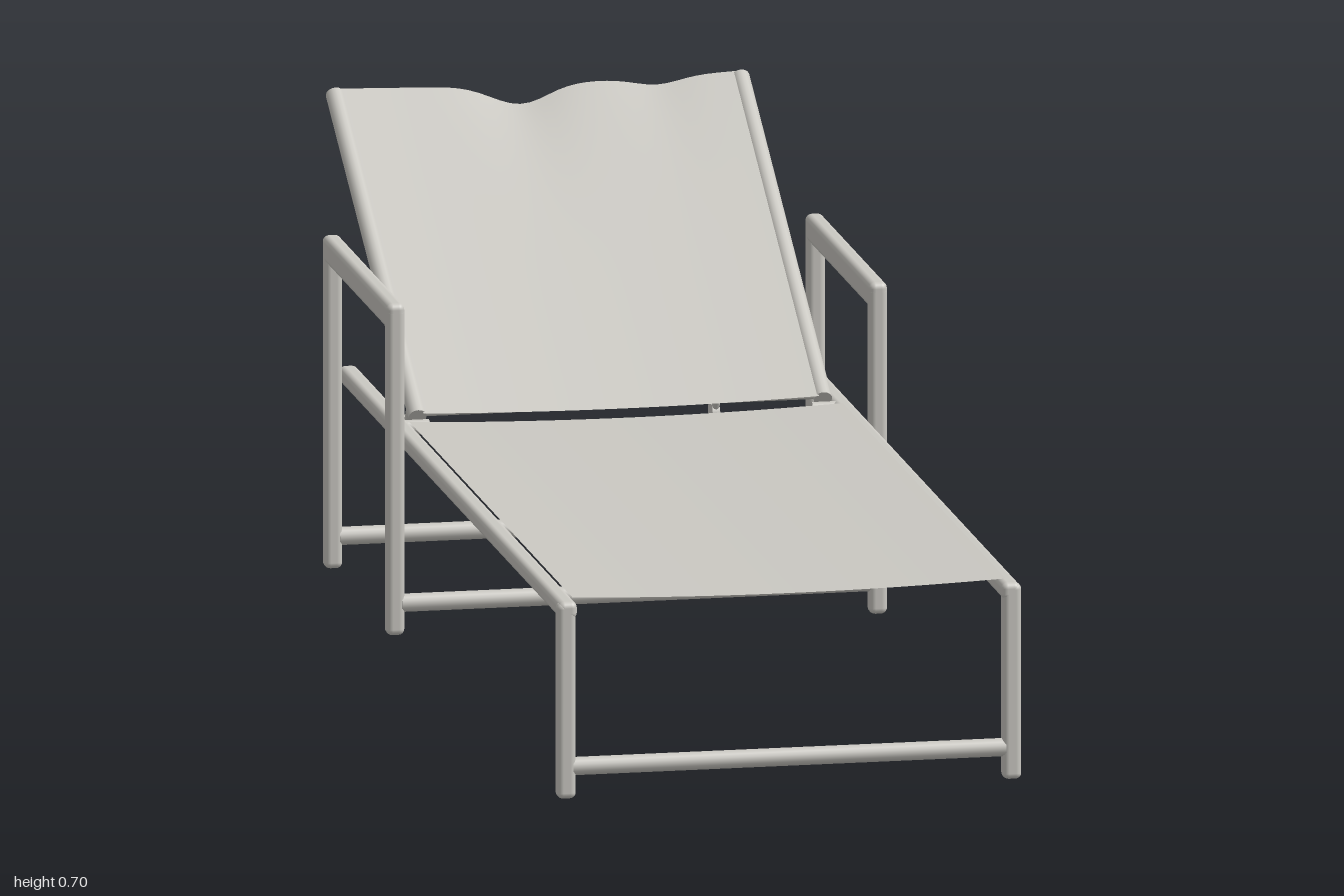
import * as THREE from 'three';
import { RoundedBoxGeometry } from 'three/addons/geometries/RoundedBoxGeometry.js';

const metal = new THREE.MeshStandardMaterial({ color: 0xcac8c2 });
metal.name = 'warm grey frame';
const fabric = new THREE.MeshStandardMaterial({ color: 0xcac8c2, side: THREE.DoubleSide });
fabric.name = 'warm grey fabric';

const V = (x, y, z) => new THREE.Vector3(x, y, z);

export function createModel() {
  const group = new THREE.Group();
  const add = (name, geometry, material = metal) => {
    const mesh = new THREE.Mesh(geometry, material);
    mesh.name = name;
    group.add(mesh);
    return mesh;
  };
  // Soft-edged bar given by its minimum and maximum corners
  const bar = (name, a, b) => {
    const size = b.clone().sub(a);
    const radius = Math.min(size.x, size.y, size.z) * 0.35;
    const mesh = add(name, new RoundedBoxGeometry(size.x, size.y, size.z, 3, radius));
    mesh.position.copy(a).add(b).multiplyScalar(0.5);
  };
  // Round rod between two points
  const rod = (name, a, b, r, sides = 16) => {
    const dir = b.clone().sub(a);
    const mesh = add(name, new THREE.CylinderGeometry(r, r, dir.length(), sides));
    mesh.position.copy(a).add(b).multiplyScalar(0.5);
    mesh.quaternion.setFromUnitVectors(V(0, 1, 0), dir.normalize());
  };
  // Cloth sheet: at(s, t) gives a point, s from -1 to 1 across, t from 0 to 1 along
  const cloth = (name, at) => {
    const geometry = new THREE.PlaneGeometry(2, 1, 40, 32);
    const p = geometry.attributes.position;
    for (let i = 0; i < p.count; i++) {
      const q = at(p.getX(i), p.getY(i) + 0.5);
      p.setXYZ(i, q.x, q.y, q.z);
    }
    geometry.computeVertexNormals();
    add(name, geometry, fabric);
  };

  for (const side of [-1, 1]) {
    const label = side > 0 ? 'left ' : 'right ';
    // Bar on this side, spanning x0..x1 outward
    const sideBar = (name, x0, x1, y0, y1, z0, z1) => bar(label + name,
      V(Math.min(side * x0, side * x1), y0, z0), V(Math.max(side * x0, side * x1), y1, z1));

    // Seat frame
    sideBar('seat rail', 0.338, 0.368, 0.287, 0.315, -0.738, 1);
    sideBar('foot leg', 0.34, 0.37, 0, 0.313, 0.973, 1);

    // Arm frame
    sideBar('arm rest', 0.37, 0.399, 0.488, 0.531, -0.714, -0.198);
    sideBar('arm front leg', 0.37, 0.399, 0, 0.525, -0.226, -0.198);
    sideBar('arm rear leg', 0.37, 0.399, 0, 0.525, -0.714, -0.686);

    // Backrest rail and its pivot
    const x = side * 0.323;
    rod(label + 'backrest rail', V(x, 0.318, -0.335), V(x, 0.692, -0.985), 0.0145);
    rod(label + 'backrest pivot', V(side * 0.305, 0.302, -0.335), V(side * 0.345, 0.302, -0.335), 0.012);

    // Hanging prop: thin upper link, thicker lower arm, round catch
    const px = side * 0.245;
    rod(label + 'prop link', V(px, 0.455, -0.605), V(px, 0.31, -0.725), 0.003, 8);
    rod(label + 'prop arm', V(px, 0.315, -0.72), V(px, 0.2, -0.8), 0.006, 10);
    rod(label + 'prop catch', V(px - 0.006, 0.195, -0.806), V(px + 0.006, 0.195, -0.806), 0.02, 20);
  }

  // Low cross bars between the legs
  for (const [name, z, half] of [
    ['foot cross bar', 0.986, 0.345],
    ['middle cross bar', -0.212, 0.375],
    ['rear cross bar', -0.7, 0.375],
  ]) rod(name, V(-half, 0.05, z), V(half, 0.05, z), 0.0145);

  // Thin bars behind the backrest
  rod('backrest lower bar', V(-0.315, 0.322, -0.352), V(0.315, 0.322, -0.352), 0.007, 10);
  rod('backrest middle bar', V(-0.315, 0.46, -0.607), V(0.315, 0.46, -0.607), 0.008, 10);

  // Seat sling, sagging a little across its width
  cloth('seat sling', (s, t) => V(s * 0.345, 0.313 + 0.008 * s * s, 0.992 - 1.28 * t));

  // Backrest sling, with a rippled top edge
  const ripple = (s) => 0.026 * Math.exp(-(((s + 0.1) / 0.2) ** 2))
    + 0.01 * Math.exp(-(((s - 0.6) / 0.16) ** 2));
  cloth('backrest sling', (s, t) => {
    const along = t * (0.756 - 1.2 * ripple(s) * t ** 6);
    const sag = 0.008 * (1 - s * s) + 0.5 * ripple(s) * t ** 6;
    return V(s * 0.315, 0.325 + along * 0.498 - sag * 0.867, -0.327 - along * 0.867 - sag * 0.498);
  });

  return group;
}
